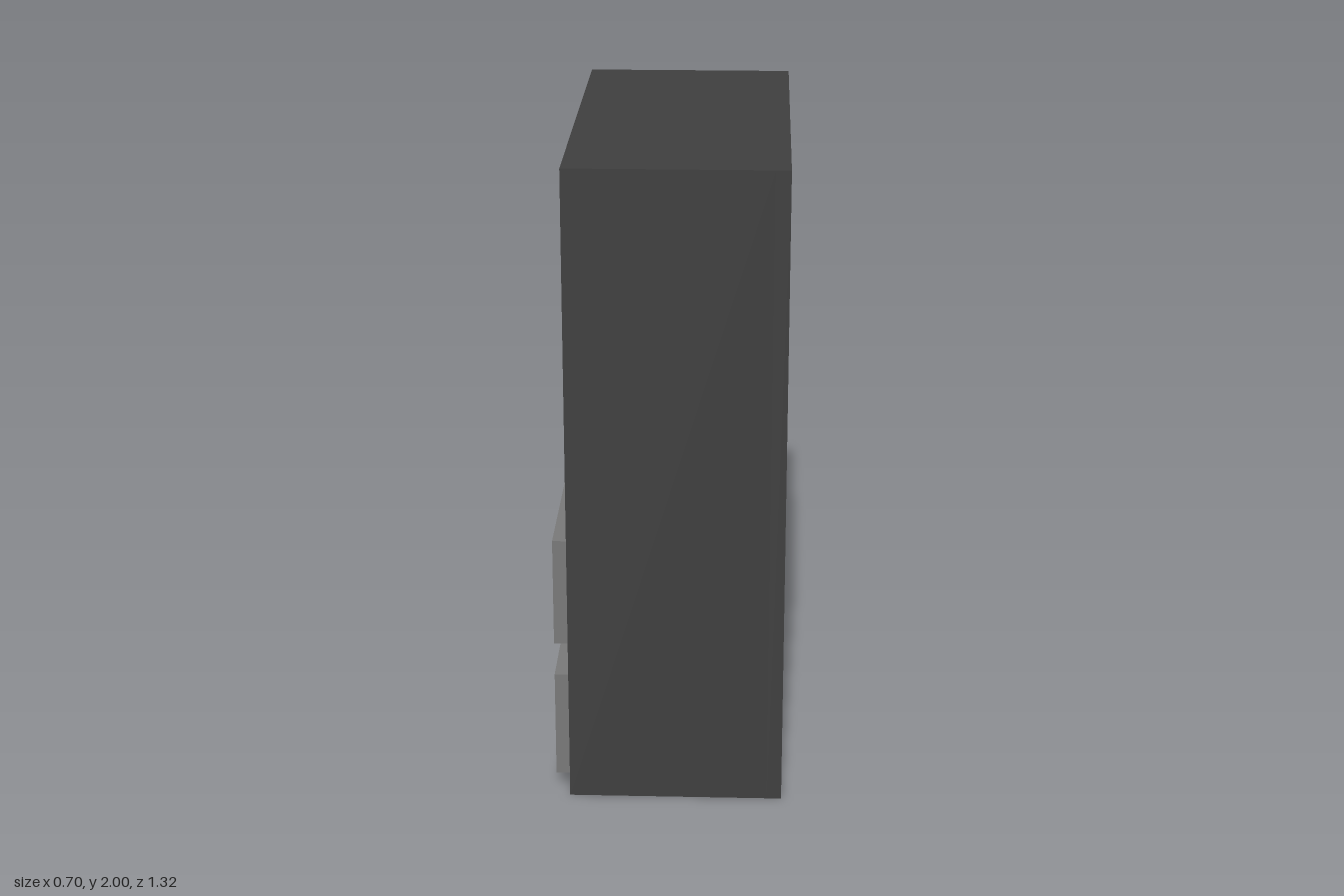
import * as THREE from 'three';

const bodyMaterial = new THREE.MeshStandardMaterial({ color: 0x404040 });
const panelMaterial = new THREE.MeshStandardMaterial({ color: 0x7a7a7a });

// Open face of the cabinet looks towards -x
const FACE_X = -0.305, BACK_X = 0.35, HEIGHT = 2, HALF_WIDTH = 0.66;
const BACK_THICKNESS = 0.045, PANEL_THICKNESS = 0.045;
const NICHE = { half: 0.617, bottom: 0.95, top: 1.94 };

// Box given by its min and max along each axis
function block(name, material, [x0, x1], [y0, y1], [z0, z1]) {
  const mesh = new THREE.Mesh(new THREE.BoxGeometry(x1 - x0, y1 - y0, z1 - z0), material);
  mesh.position.set((x0 + x1) / 2, (y0 + y1) / 2, (z0 + z1) / 2);
  mesh.name = name;
  return mesh;
}

function rectangle(PathClass, half, bottom, top) {
  return new PathClass([
    new THREE.Vector2(-half, bottom), new THREE.Vector2(half, bottom),
    new THREE.Vector2(half, top), new THREE.Vector2(-half, top),
  ]);
}

export function createModel() {
  const cabinet = new THREE.Group();
  cabinet.name = 'cabinet';

  // Carcass: solid outline with the upper niche cut through it
  const outline = rectangle(THREE.Shape, HALF_WIDTH, 0, HEIGHT);
  outline.holes.push(rectangle(THREE.Path, NICHE.half, NICHE.bottom, NICHE.top));
  const carcass = new THREE.Mesh(
    new THREE.ExtrudeGeometry(outline, { depth: BACK_X - BACK_THICKNESS - FACE_X, bevelEnabled: false }),
    bodyMaterial
  );
  carcass.rotation.y = Math.PI / 2;
  carcass.position.x = FACE_X;
  carcass.name = 'carcass';
  cabinet.add(carcass);

  // Back board closing the niche
  cabinet.add(block('backBoard', bodyMaterial,
    [BACK_X - BACK_THICKNESS, BACK_X], [0, HEIGHT], [-HALF_WIDTH, HALF_WIDTH]));

  // Sliding door over one half of the niche, set slightly back
  const doorX = FACE_X + 0.03;
  cabinet.add(block('slidingDoor', panelMaterial,
    [doorX, doorX + PANEL_THICKNESS], [NICHE.bottom, NICHE.top], [-NICHE.half, -0.01]));

  // Two drawer fronts standing proud of the face
  [['lowerDrawer', 0.055], ['upperDrawer', 0.5]].forEach(([name, y]) => {
    cabinet.add(block(name, panelMaterial, [FACE_X - PANEL_THICKNESS, FACE_X], [y, y + 0.34], [-0.62, 0.62]));
  });

  return cabinet;
}
